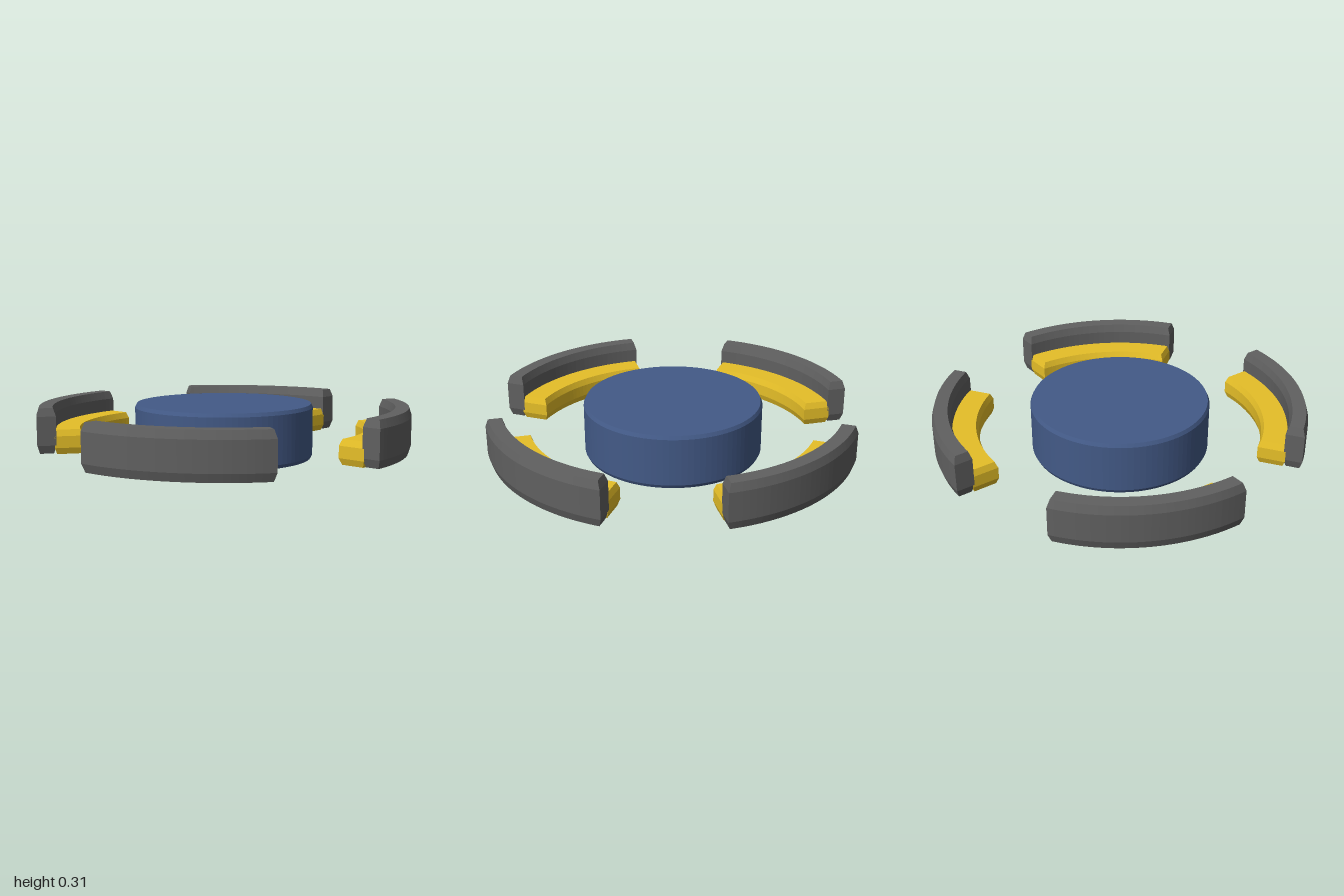
import * as THREE from 'three';

const rad = THREE.MathUtils.degToRad;

// Upright slab from a plan outline, with chamfered top and bottom rims
function slab(name, shape, y0, y1, chamferHeight, chamferWidth, curveSegments, material) {
  const geometry = new THREE.ExtrudeGeometry(shape, {
    depth: y1 - y0 - 2 * chamferHeight,
    bevelThickness: chamferHeight,
    bevelSize: chamferWidth,
    bevelOffset: -chamferWidth,
    bevelSegments: 1,
    curveSegments,
  });
  geometry.rotateX(-Math.PI / 2);
  geometry.translate(0, y0 + chamferHeight, 0);
  const mesh = new THREE.Mesh(geometry, material);
  mesh.name = name;
  return mesh;
}

// Plan outline of a ring sector
function sector(inner, outer, start, end) {
  const shape = new THREE.Shape();
  shape.absarc(0, 0, outer, start, end, false);
  shape.absarc(0, 0, inner, end, start, true);
  shape.closePath();
  return shape;
}

export function createModel() {
  const model = new THREE.Group();
  model.name = 'roundTableWithBenches';

  const blue = new THREE.MeshStandardMaterial({ color: 0x435a87 });
  const yellow = new THREE.MeshStandardMaterial({ color: 0xe6bf28 });
  const grey = new THREE.MeshStandardMaterial({ color: 0x606060 });

  // Round central table
  const disc = new THREE.Shape();
  disc.absarc(0, 0, 0.5, 0, Math.PI * 2, false);
  model.add(slab('table', disc, 0, 0.305, 0.02, 0.01, 48, blue));

  // Four curved benches, each a low seat in front of a taller backrest
  const start = rad(17);
  const end = rad(73);
  for (let i = 0; i < 4; i++) {
    const bench = new THREE.Group();
    bench.name = 'bench' + (i + 1);
    bench.add(
      slab('seat', sector(0.795, 0.95, start, end), 0.045, 0.18, 0.035, 0.013, 14, yellow),
      slab('backrest', sector(0.94, 1.043, start, end), 0.05, 0.3, 0.045, 0.014, 14, grey),
    );
    bench.rotation.y = (i * Math.PI) / 2;
    model.add(bench);
  }

  return model;
}
